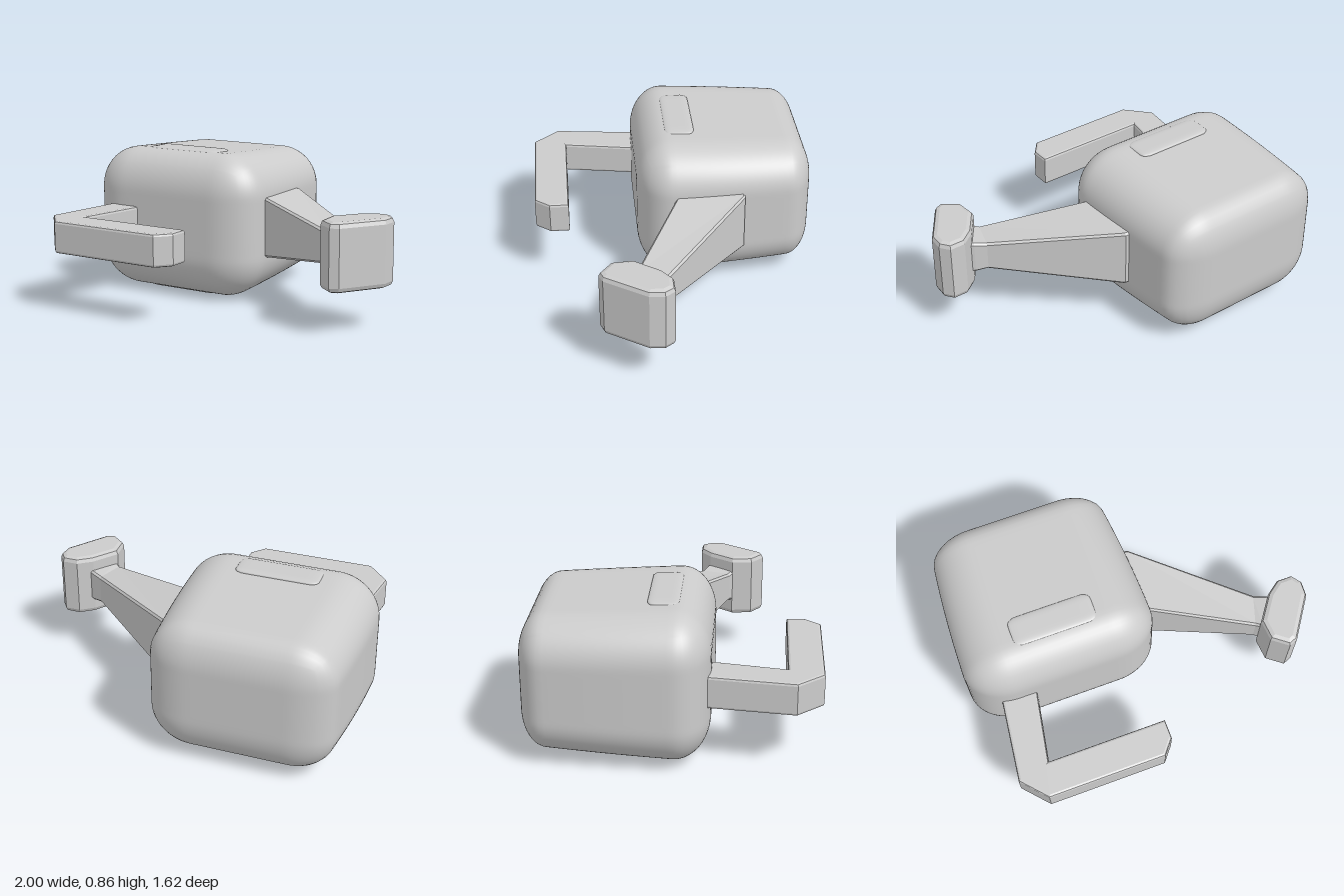
import * as THREE from 'three';
import { mergeVertices } from 'three/addons/utils/BufferGeometryUtils.js';

const smooth = new THREE.MeshStandardMaterial({ color: 0xcccccc });
const flat = new THREE.MeshStandardMaterial({ color: 0xcccccc, flatShading: true });

function addMesh(group, name, geometry, material) {
  const mesh = new THREE.Mesh(geometry, material);
  mesh.name = name;
  group.add(mesh);
  return mesh;
}

// Box with rounded edges, a separate radius per axis (zFront / zBack differ)
function softBox(size, radius, segments) {
  const geo = new THREE.BoxGeometry(...size, segments, segments, segments);
  geo.deleteAttribute('normal');
  geo.deleteAttribute('uv');
  const merged = mergeVertices(geo);
  const pos = merged.attributes.position;
  for (let i = 0; i < pos.count; i++) {
    const p = [pos.getX(i), pos.getY(i), pos.getZ(i)];
    const r = [radius.x, radius.y, p[2] > 0 ? radius.zFront : radius.zBack];
    const inner = p.map((v, k) => THREE.MathUtils.clamp(v, r[k] - size[k] / 2, size[k] / 2 - r[k]));
    const off = p.map((v, k) => (v - inner[k]) / r[k]);
    const len = Math.hypot(...off) || 1;
    pos.setXYZ(i, ...inner.map((v, k) => v + (off[k] / len) * r[k]));
  }
  return merged;
}

// Plan outline of [x, z] points extruded upward between two heights
function planExtrude(points, y0, y1, bevel, bevelSegments = 2) {
  const shape = new THREE.Shape(points.map(([x, z]) => new THREE.Vector2(x, -z)));
  const geo = new THREE.ExtrudeGeometry(shape, {
    depth: y1 - y0 - 2 * bevel, bevelEnabled: true, bevelThickness: bevel,
    bevelSize: bevel, bevelOffset: -bevel, bevelSegments,
  });
  geo.rotateX(-Math.PI / 2);
  geo.translate(0, y0 + bevel, 0);
  return geo;
}

// Chamfered rectangular loft; section = [backX, backZ, frontX, frontZ, y0, y1]
function loft(sections, chamfer) {
  const verts = [], index = [];
  for (const [bx, bz, fx, fz, y0, y1] of sections) {
    const c = chamfer, d = chamfer / Math.hypot(fx - bx, fz - bz);
    const ring = [[0, y0 + c], [d, y0], [1 - d, y0], [1, y0 + c],
      [1, y1 - c], [1 - d, y1], [d, y1], [0, y1 - c]];
    for (const [t, y] of ring) verts.push(bx + (fx - bx) * t, y, bz + (fz - bz) * t);
  }
  const last = (sections.length - 1) * 8;
  for (let s = 0; s < last; s += 8) {
    for (let j = 0; j < 8; j++) {
      const a = s + j, b = s + (j + 1) % 8;
      index.push(a, a + 8, b, b, a + 8, b + 8);
    }
  }
  for (let j = 1; j < 7; j++) {
    index.push(0, j, j + 1, last, last + j + 1, last + j);
  }
  const geo = new THREE.BufferGeometry();
  geo.setAttribute('position', new THREE.Float32BufferAttribute(verts, 3));
  geo.setIndex(index);
  geo.computeVertexNormals();
  return geo;
}

export function createModel() {
  const model = new THREE.Group();
  model.name = 'mountedHousing';

  // Soft housing, narrowing toward the back
  const body = softBox([1.12, 0.845, 1.02], { x: 0.26, y: 0.25, zFront: 0.2, zBack: 0.14 }, 32);
  const pos = body.attributes.position;
  for (let i = 0; i < pos.count; i++) {
    const t = Math.max(0, (0.35 - pos.getZ(i)) / 0.86);
    pos.setX(i, pos.getX(i) * (1 - 0.1 * t * t));
    pos.setY(i, pos.getY(i) * (1 - 0.11 * t));
  }
  body.computeVertexNormals();
  addMesh(model, 'housing', body, smooth).position.set(-0.44, 0.433, -0.3);

  // Shallow pads on the top and bottom of the housing
  for (const [name, y] of [['topPad', 0.845], ['bottomPad', 0.016]]) {
    const pad = softBox([0.48, 0.032, 0.17], { x: 0.05, y: 0.012, zFront: 0.04, zBack: 0.04 }, 12);
    pad.computeVertexNormals();
    addMesh(model, name, pad, smooth).position.set(-0.44, y, -0.05);
  }

  // Angled bracket standing off the front face
  addMesh(model, 'frontBracket', planExtrude([
    [-0.83, 0.1], [-0.90, 0.66], [-0.77, 0.805], [-0.09, 0.805],
    [-0.02, 0.72], [-0.02, 0.61], [-0.71, 0.61], [-0.62, 0.1],
  ], 0.335, 0.52, 0.015), flat);

  // Tapered side arm with a short flare where it meets the plate
  addMesh(model, 'sideArm', loft([
    [0.05, -0.40, 0.05, -0.04, 0.26, 0.615],
    [0.125, -0.395, 0.12, 0.0, 0.262, 0.612],
    [0.725, 0.09, 0.67, 0.265, 0.345, 0.52],
    [0.79, 0.12, 0.70, 0.29, 0.335, 0.53],
    [0.85, 0.16, 0.76, 0.33, 0.335, 0.53],
  ], 0.012), flat);

  // Upright end plate
  addMesh(model, 'endPlate', planExtrude([
    [0.79, 0.14], [0.87, 0.08], [0.96, 0.08], [1.0, 0.135], [0.995, 0.22],
    [0.84, 0.45], [0.79, 0.47], [0.70, 0.40], [0.69, 0.28],
  ], 0.24, 0.62, 0.03), flat);

  return model;
}
